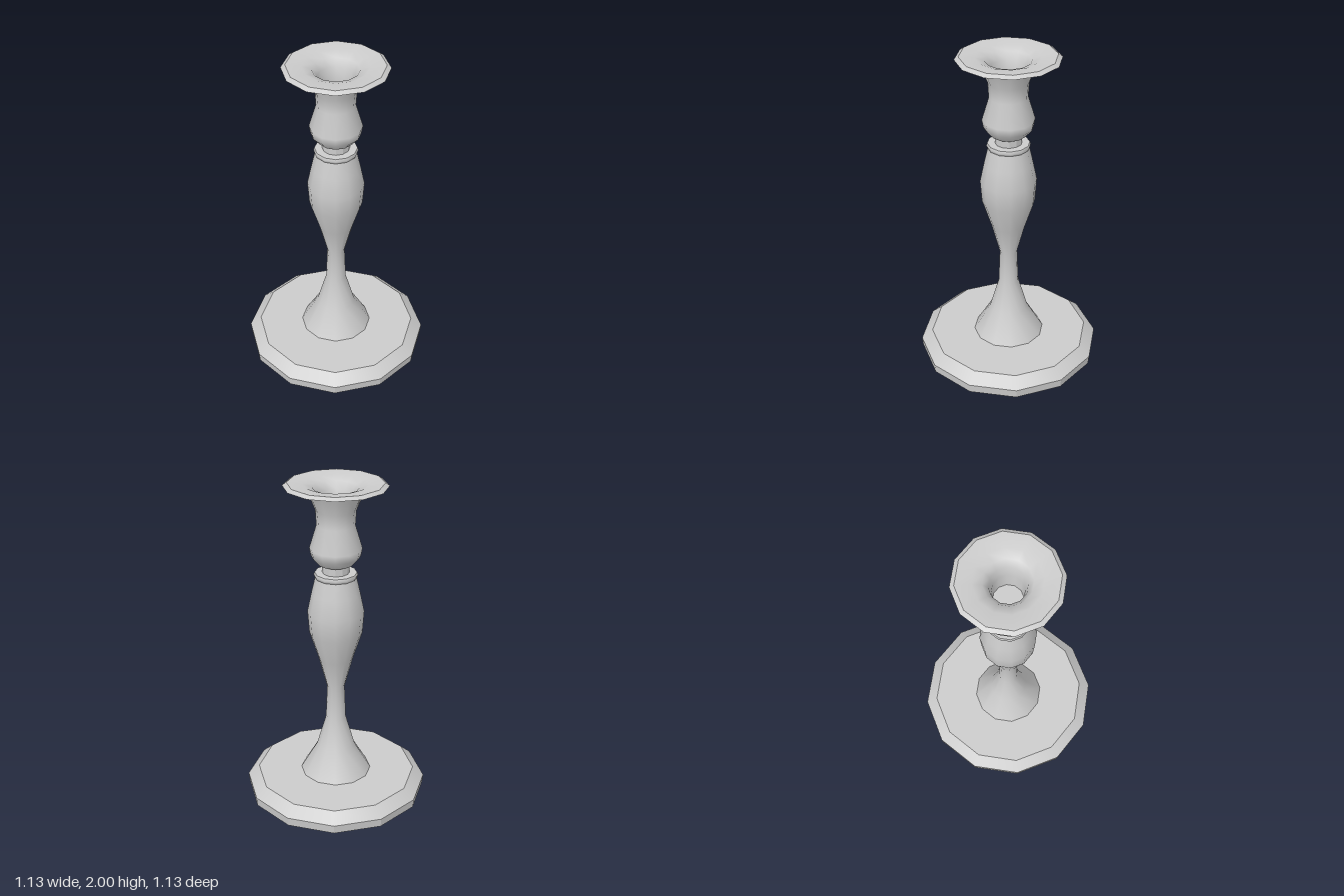
import * as THREE from 'three';

const SIDES = 12;

export function createModel() {
  const model = new THREE.Group();
  model.name = 'candlestick';
  const material = new THREE.MeshStandardMaterial({ color: 0xcccccc });
  const faceted = new THREE.MeshStandardMaterial({ color: 0xcccccc, flatShading: true });

  // Turned section from [radius, height] pairs, running up the outside and then inward
  const turn = (name, profile, mat = material) => {
    const points = profile.map(([r, y]) => new THREE.Vector2(r, y));
    const mesh = new THREE.Mesh(new THREE.LatheGeometry(points, SIDES), mat);
    mesh.name = name;
    model.add(mesh);
  };

  // Bevelled foot
  turn('footUnderside', [[0, 0], [0.56, 0]]);
  turn('footEdge', [[0.56, 0], [0.565, 0.055]], faceted);
  turn('footBevel', [[0.565, 0.055], [0.495, 0.115]]);
  turn('footTop', [[0.495, 0.115], [0.2, 0.115]]);

  // Flared stem swelling into the baluster
  turn('stem', [
    [0.22, 0.115], [0.119, 0.29], [0.062, 0.49], [0.054, 0.705],
    [0.105, 0.9], [0.16, 1.07], [0.17, 1.21], [0.145, 1.33], [0.122, 1.43],
  ]);

  // Collar and neck
  turn('collar', [[0.115, 1.43], [0.125, 1.43], [0.131, 1.445], [0.125, 1.46]]);
  turn('collarTop', [[0.125, 1.46], [0.08, 1.46]]);
  turn('neck', [[0.08, 1.46], [0.08, 1.515]], faceted);

  // Candle cup
  turn('cupUnderside', [[0.08, 1.515], [0.105, 1.515]]);
  turn('cup', [
    [0.105, 1.515], [0.146, 1.562], [0.155, 1.61],
    [0.113, 1.75], [0.119, 1.84], [0.16, 1.94],
  ]);

  // Drip pan with its rim
  turn('panUnderside', [[0.16, 1.94], [0.24, 1.98], [0.305, 1.983]]);
  turn('panRim', [[0.305, 1.983], [0.28, 2]]);

  // Candle socket
  turn('socket', [
    [0.28, 2], [0.19, 1.992], [0.135, 1.972], [0.105, 1.93], [0.09, 1.86], [0.085, 1.75],
  ]);
  turn('socketFloor', [[0.085, 1.75], [0, 1.75]]);
  return model;
}
